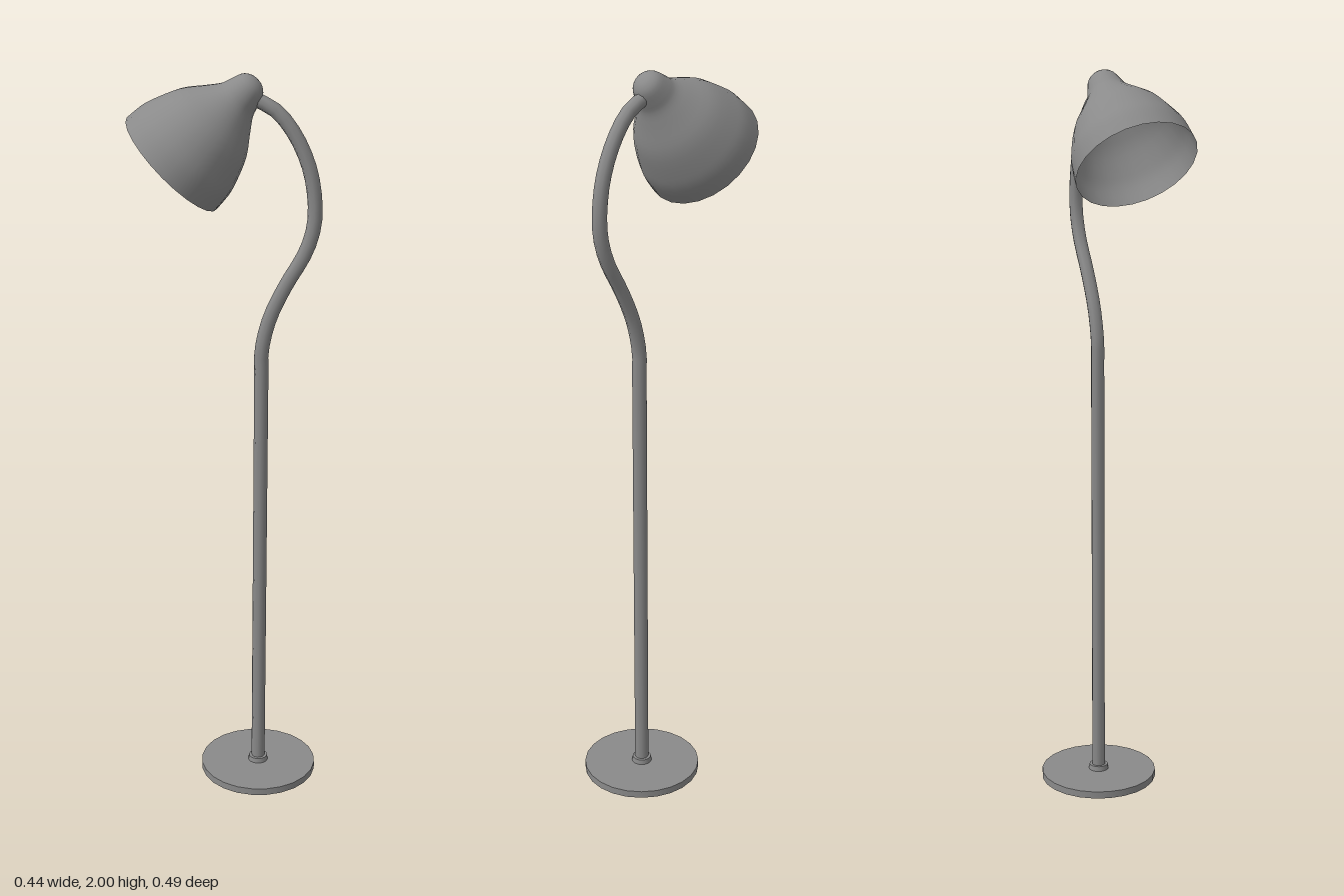
import * as THREE from 'three';

export function createModel() {
  const lamp = new THREE.Group();
  lamp.name = 'floorLamp';
  const material = new THREE.MeshStandardMaterial({ color: 0x8a8a8a });
  const shadeMaterial = new THREE.MeshStandardMaterial({ color: 0x8a8a8a, side: THREE.DoubleSide });

  function add(name, geometry, y = 0, mat = material) {
    const mesh = new THREE.Mesh(geometry, mat);
    mesh.name = name;
    mesh.position.y = y;
    lamp.add(mesh);
    return mesh;
  }

  // Round foot and the small collar that holds the pole
  add('base', new THREE.CylinderGeometry(0.163, 0.163, 0.02, 24), 0.01);
  add('collar', new THREE.CylinderGeometry(0.026, 0.028, 0.014, 16), 0.027);

  // Straight pole
  const tubeRadius = 0.019, poleTop = 1.22;
  add('pole', new THREE.CylinderGeometry(tubeRadius, tubeRadius, poleTop - 0.02, 8, 1, true), (poleTop + 0.02) / 2);

  // Gooseneck: swings out along +x, then back over the pole into the shade
  const neckPath = new THREE.CatmullRomCurve3([
    [0, poleTop], [0, 1.27], [0.02, 1.36], [0.06, 1.45], [0.11, 1.54], [0.13, 1.60], [0.135, 1.66],
    [0.12, 1.76], [0.08, 1.85], [0.03, 1.91], [-0.03, 1.94],
  ].map(([x, y]) => new THREE.Vector3(x, y, 0)));
  add('gooseneck', new THREE.TubeGeometry(neckPath, 24, tubeRadius, 8));

  // Bell shade with a rounded knob, open at the rim and tilted 45 degrees
  const profile = new THREE.SplineCurve([
    [0.163, -0.26], [0.158, -0.21], [0.146, -0.17], [0.12, -0.11], [0.083, -0.06],
    [0.058, -0.025], [0.049, 0], [0.038, 0.03], [0.02, 0.045], [0, 0.049],
  ].map(([r, y]) => new THREE.Vector2(r, y))).getPoints(30);
  profile.forEach((p) => { p.x = Math.max(p.x, 0); });
  const shade = add('shade', new THREE.LatheGeometry(profile, 24), 1.951, shadeMaterial);
  shade.position.x = -0.05;
  shade.rotation.z = -Math.PI / 4;

  // Turn the bend plane to its diagonal and centre the whole lamp
  lamp.rotation.y = -Math.atan2(0.82, 0.57);
  lamp.position.set(0.06, 0, 0.08);

  const model = new THREE.Group();
  model.add(lamp);
  return model;
}
